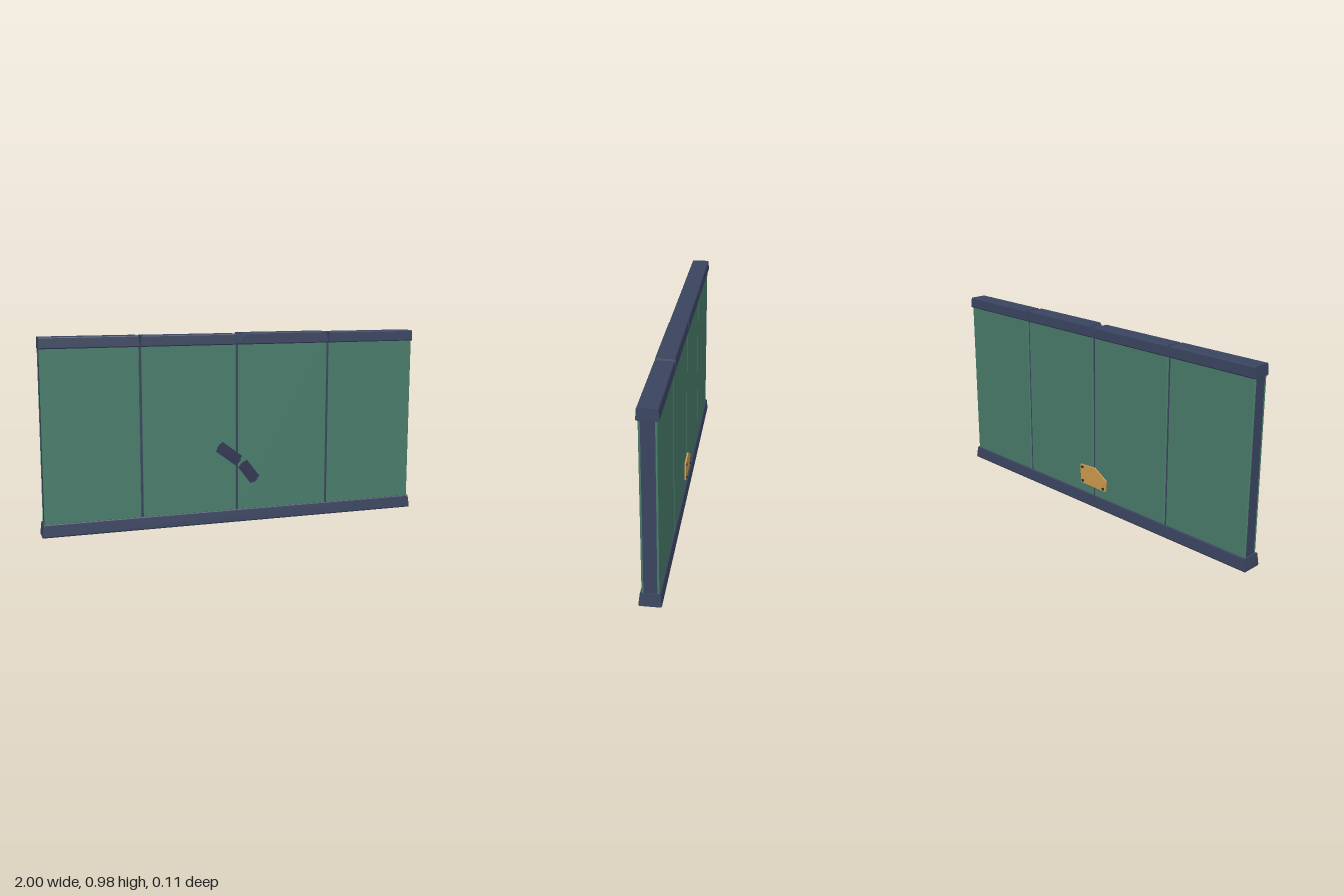
import * as THREE from 'three';

export function createModel() {
  const model = new THREE.Group();
  model.name = 'wallSection';

  const mat = (name, color) => {
    const m = new THREE.MeshStandardMaterial({ color });
    m.name = name;
    return m;
  };
  const navy = mat('navyFrame', 0x39445f);
  const green = mat('greenPanel', 0x4a7d6b);
  const slate = mat('darkSlate', 0x34385400 >> 8);
  const gold = mat('goldPlate', 0xcf9c4c);
  const bolt = mat('darkBolt', 0x2c2a33);

  const add = (name, geo, material, parent = model) => {
    const mesh = new THREE.Mesh(geo, material);
    mesh.name = name;
    parent.add(mesh);
    return mesh;
  };

  // Beam along x with a [z, y] profile; adjust(v, end) nudges each corner
  const beam = (profile, x0, x1, adjust) => {
    const shape = new THREE.Shape(profile.map(([z, y]) => new THREE.Vector2(-z, y)));
    const geo = new THREE.ExtrudeGeometry(shape, { depth: x1 - x0, bevelEnabled: false });
    geo.rotateY(Math.PI / 2).translate(x0, 0, 0);
    const pos = geo.attributes.position;
    const v = new THREE.Vector3();
    for (let i = 0; i < pos.count; i++) {
      v.fromBufferAttribute(pos, i);
      adjust(v, v.x > (x0 + x1) / 2 ? 1 : -1);
      pos.setXYZ(i, v.x, v.y, v.z);
    }
    geo.computeVertexNormals();
    return geo;
  };
  const mirrored = (half) => [...half, ...half.slice().reverse().map(([z, y]) => [-z, y])];

  // Core slab, seen at the ends and in the panel seams
  add('core', new THREE.BoxGeometry(1.972, 0.88, 0.066).translate(0, 0.49, 0), navy);

  // Plinth with sloping sides
  const plinth = mirrored([[0.05, 0], [0.053, 0.006], [0.047, 0.06], [0.044, 0.064]]);
  add('plinth', beam(plinth, -1, 1, (v, end) => { v.x -= end * 0.1 * v.y; }), navy);

  // Four chamfered panels on each face
  const panelShape = (x0, x1, y0, y1) => new THREE.Shape([
    new THREE.Vector2(x0, y0), new THREE.Vector2(x1, y0),
    new THREE.Vector2(x1, y1), new THREE.Vector2(x0, y1),
  ]);
  const seams = [-0.988, -0.5, 0, 0.5, 0.988];
  for (const side of [1, -1]) {
    for (let i = 0; i < 4; i++) {
      const x0 = seams[i] + (i > 0 ? 0.006 : 0);
      const x1 = seams[i + 1] - (i < 3 ? 0.006 : 0);
      const b = 0.003;
      const geo = new THREE.ExtrudeGeometry(panelShape(x0 + b, x1 - b, 0.06, 0.923), {
        depth: 0.004, bevelThickness: b, bevelSize: b, bevelSegments: 1,
      });
      geo.translate(0, 0, 0.033);
      if (side < 0) geo.rotateY(Math.PI).translate(0, 0, 0);
      add((side > 0 ? 'frontPanel' : 'backPanel') + (i + 1), geo, green);
    }
  }

  // Coping stones with uneven, chipped ends
  const cap = mirrored([[0.046, 0.919], [0.049, 0.924], [0.046, 0.97], [0.043, 0.974]]);
  const copings = [
    { x0: -0.99, x1: -0.504, lift: 0, left: 0.002, right: 0.004, chip: 0 },
    { x0: -0.498, x1: -0.003, lift: -0.001, left: 0.006, right: 0.006, chip: 0 },
    { x0: 0.004, x1: 0.497, lift: 0.003, left: 0.012, right: 0.012, chip: 0.022 },
    { x0: 0.503, x1: 0.99, lift: 0, left: 0.006, right: 0.002, chip: 0 },
  ];
  copings.forEach((c, i) => {
    const geo = beam(cap, c.x0, c.x1, (v, end) => {
      if (v.y > 0.95) {
        v.x -= end * (end > 0 ? c.right : c.left);
        v.y += c.lift;
        if (end < 0 && v.z > 0) v.x += c.chip;
      }
    });
    add('coping' + (i + 1), geo, navy);
  });

  // Angled two-part brace on the front: flat base with a raised rib
  const braces = [
    { x: -0.045, y: 0.361, angle: -0.645, length: 0.142 },
    { x: 0.063, y: 0.26, angle: -0.915, length: 0.122 },
  ];
  braces.forEach((s, i) => {
    const brace = new THREE.Group();
    brace.name = 'frontBrace' + (i + 1);
    brace.position.set(s.x, s.y, 0.039);
    brace.rotation.z = s.angle;
    add('braceBase', new THREE.BoxGeometry(s.length - 0.01, 0.06, 0.005).translate(0, 0, 0.0025), slate, brace);
    add('braceRib', new THREE.BoxGeometry(s.length, 0.026, 0.009).translate(0, 0, 0.0045), slate, brace);
    model.add(brace);
  });

  // Repair plate bolted across the middle seam on the back
  const outline = [[0.093, 0.215], [-0.012, 0.222], [-0.098, 0.17], [-0.092, 0.11], [0.09, 0.114]];
  const plateShape = new THREE.Shape(outline.map(([x, y]) => new THREE.Vector2(x, y)));
  const plate = new THREE.ExtrudeGeometry(plateShape, { depth: 0.009, bevelEnabled: false });
  add('repairPlate', plate.translate(0, 0, -0.048), gold);
  for (const [x, y] of [[0.077, 0.204], [0.075, 0.127], [-0.079, 0.124]]) {
    const head = new THREE.CylinderGeometry(0.008, 0.008, 0.008, 6).toNonIndexed();
    head.computeVertexNormals();
    add('plateBolt', head.rotateX(Math.PI / 2).translate(x, y, -0.049), bolt);
  }

  return model;
}
